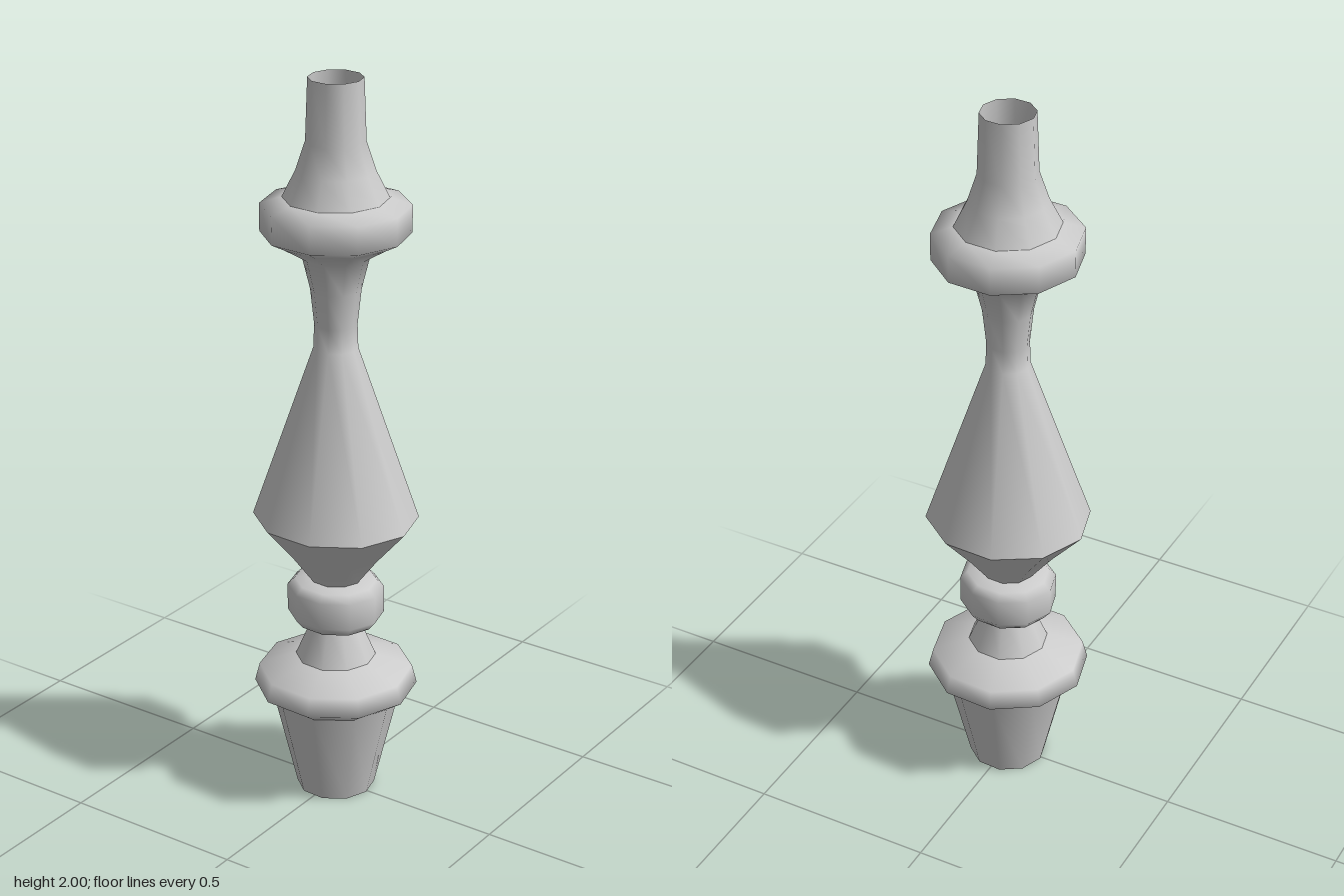
import * as THREE from 'three';

const SIDES = 10;
const START = THREE.MathUtils.degToRad(87);
const material = new THREE.MeshStandardMaterial({ color: 0xcccccc, side: THREE.DoubleSide });

// Turned section: profile points are [radius, height, optional depth squash]
function turned(name, profile) {
  const points = profile.map(([r, y]) => new THREE.Vector2(r, y));
  const geometry = new THREE.LatheGeometry(points, SIDES, START);
  const pos = geometry.attributes.position;
  for (let i = 0; i < pos.count; i++) {
    pos.setZ(i, pos.getZ(i) * (profile[i % profile.length][2] ?? 1));
  }
  const mesh = new THREE.Mesh(geometry, material);
  mesh.name = name;
  return mesh;
}

export function createModel() {
  const group = new THREE.Group();
  group.name = 'turnedSpindle';

  // Sections meet at sharp creases; within a section the profile is smooth
  const sections = {
    // Tapered foot, open underneath
    foot: [[0.106, 0], [0.173, 0.28]],
    footBead: [[0.173, 0.28], [0.22, 0.312], [0.207, 0.362], [0.108, 0.397]],
    lowerNeck: [[0.108, 0.397], [0.064, 0.5]],
    // Small ring, slightly oval
    collar: [[0.064, 0.5], [0.112, 0.503, 0.94], [0.132, 0.528, 0.94],
      [0.132, 0.602, 0.94], [0.112, 0.622, 0.94], [0.073, 0.629, 0.96]],
    // Pear-shaped body, slightly oval at its widest
    bulgeBase: [[0.073, 0.629, 0.96], [0.136, 0.71, 0.95], [0.224, 0.81, 0.94]],
    bulge: [[0.224, 0.81, 0.94], [0.058, 1.286], [0.056, 1.35],
      [0.066, 1.445], [0.088, 1.535], [0.155, 1.577]],
    // Upper ring
    upperBead: [[0.155, 1.577], [0.194, 1.598], [0.194, 1.672], [0.137, 1.69]],
    // Flared tip, open at the top
    tip: [[0.137, 1.69], [0.102, 1.76], [0.077, 1.836], [0.071, 2]],
  };
  for (const [name, profile] of Object.entries(sections)) group.add(turned(name, profile));
  return group;
}
